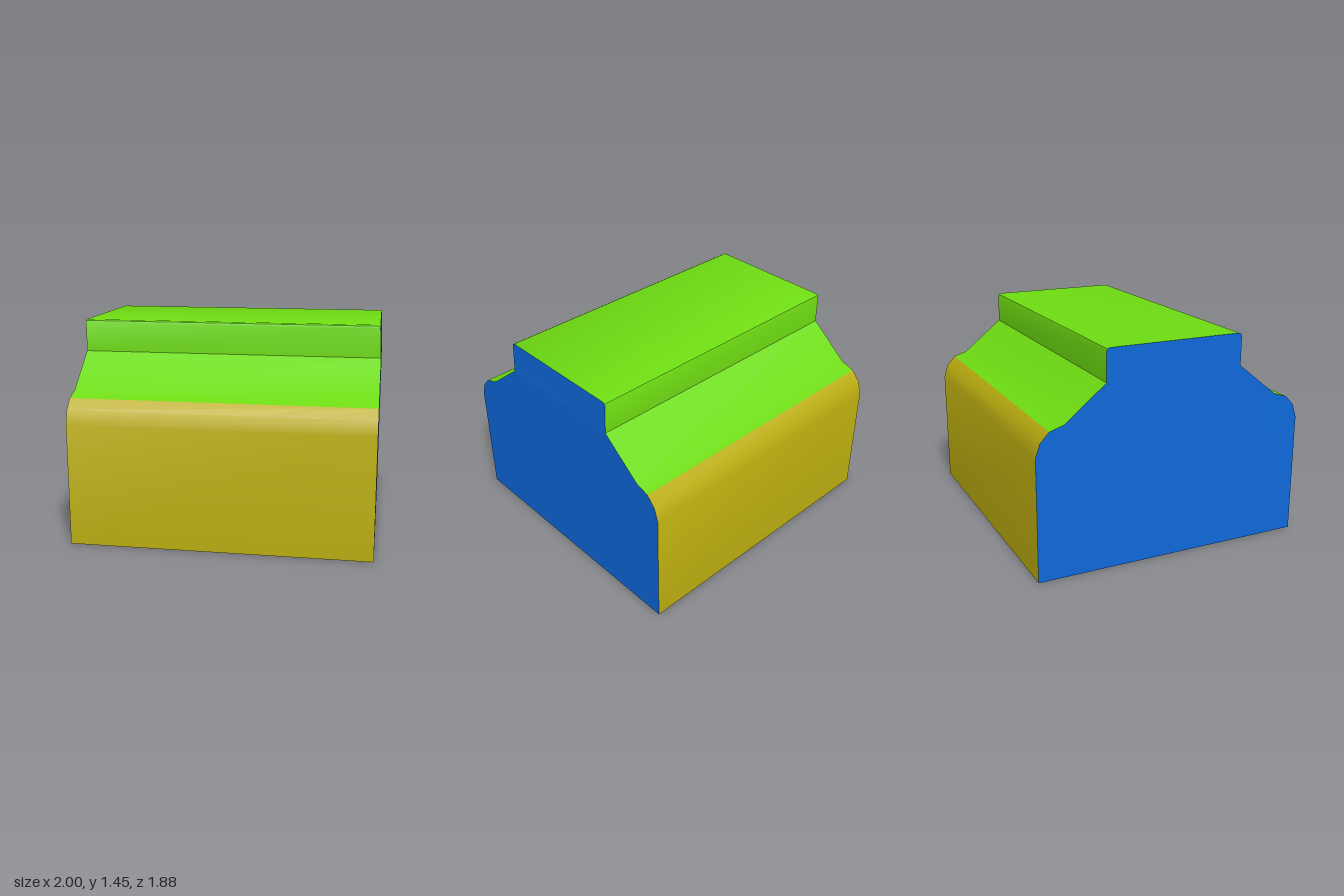
import * as THREE from 'three';
import { toCreasedNormals } from 'three/addons/utils/BufferGeometryUtils.js';

// Half profile as [z, y], from the foot up to the shoulder, then on to the roof
const wall = [[0.94, 0], [0.94, 0.82], [0.91, 0.91], [0.85, 0.975]];
const slope = [[0.85, 0.975], [0.755, 1.005], [0.475, 1.23]];
const crown = [[0.475, 1.23], [0.475, 1.425], [0.47, 1.438], [0.455, 1.445]];

const mirror = (pts) => pts.map(([z, y]) => [-z, y]).reverse();

// The +x end leans in slightly above the slopes
const endX = (y) => 1 - 0.01 * THREE.MathUtils.clamp((y - 1.23) / 0.195, 0, 1);

function addMesh(group, name, geometry, color) {
  const material = new THREE.MeshStandardMaterial({ color, side: THREE.DoubleSide });
  const mesh = new THREE.Mesh(geometry, material);
  mesh.name = name;
  group.add(mesh);
}

// Sheet swept along x over a [z, y] profile that runs from front to back
function skin(profile) {
  const positions = [];
  const index = [];
  profile.forEach(([z, y], i) => {
    positions.push(-1, y, z, endX(y), y, z);
    if (i > 0) {
      const a = 2 * (i - 1);
      index.push(a, a + 1, a + 3, a, a + 3, a + 2);
    }
  });
  const geometry = new THREE.BufferGeometry();
  geometry.setAttribute('position', new THREE.Float32BufferAttribute(positions, 3));
  geometry.setIndex(index);
  return toCreasedNormals(geometry, 0.6);
}

// Flat end plate filling a closed profile, on the +x (1) or -x (-1) side
function endPlate(profile, side) {
  const shape = new THREE.Shape(profile.map(([z, y]) => new THREE.Vector2(-side * z, y)));
  const geometry = new THREE.ShapeGeometry(shape);
  geometry.rotateY(side * Math.PI / 2);
  const p = geometry.attributes.position;
  for (let i = 0; i < p.count; i++) p.setX(i, side > 0 ? endX(p.getY(i)) : -1);
  geometry.computeVertexNormals();
  return geometry;
}

export function createModel() {
  const group = new THREE.Group();
  const yellow = 0xbcae10;
  const green = 0x6edc12;
  const blue = 0x0d69da;

  // Long walls with rounded shoulders
  addMesh(group, 'frontWall', skin(wall), yellow);
  addMesh(group, 'backWall', skin(mirror(wall)), yellow);

  // Sloping roof with the raised flat crown
  const roof = [...slope, ...crown.slice(1)];
  addMesh(group, 'roof', skin([...roof, ...mirror(roof)]), green);

  // End plates, split where the crown begins
  const lower = [...wall, ...slope.slice(1)];
  for (const side of [1, -1]) {
    const label = side > 0 ? 'left' : 'right';
    addMesh(group, label + 'EndWall', endPlate([...lower, ...mirror(lower)], side), blue);
    addMesh(group, label + 'EndCrown', endPlate([...crown, ...mirror(crown)], side), blue);
  }

  // Underside
  const floor = new THREE.PlaneGeometry(2, 1.88).rotateX(Math.PI / 2);
  addMesh(group, 'floor', floor, 0xcccccc);

  return group;
}
